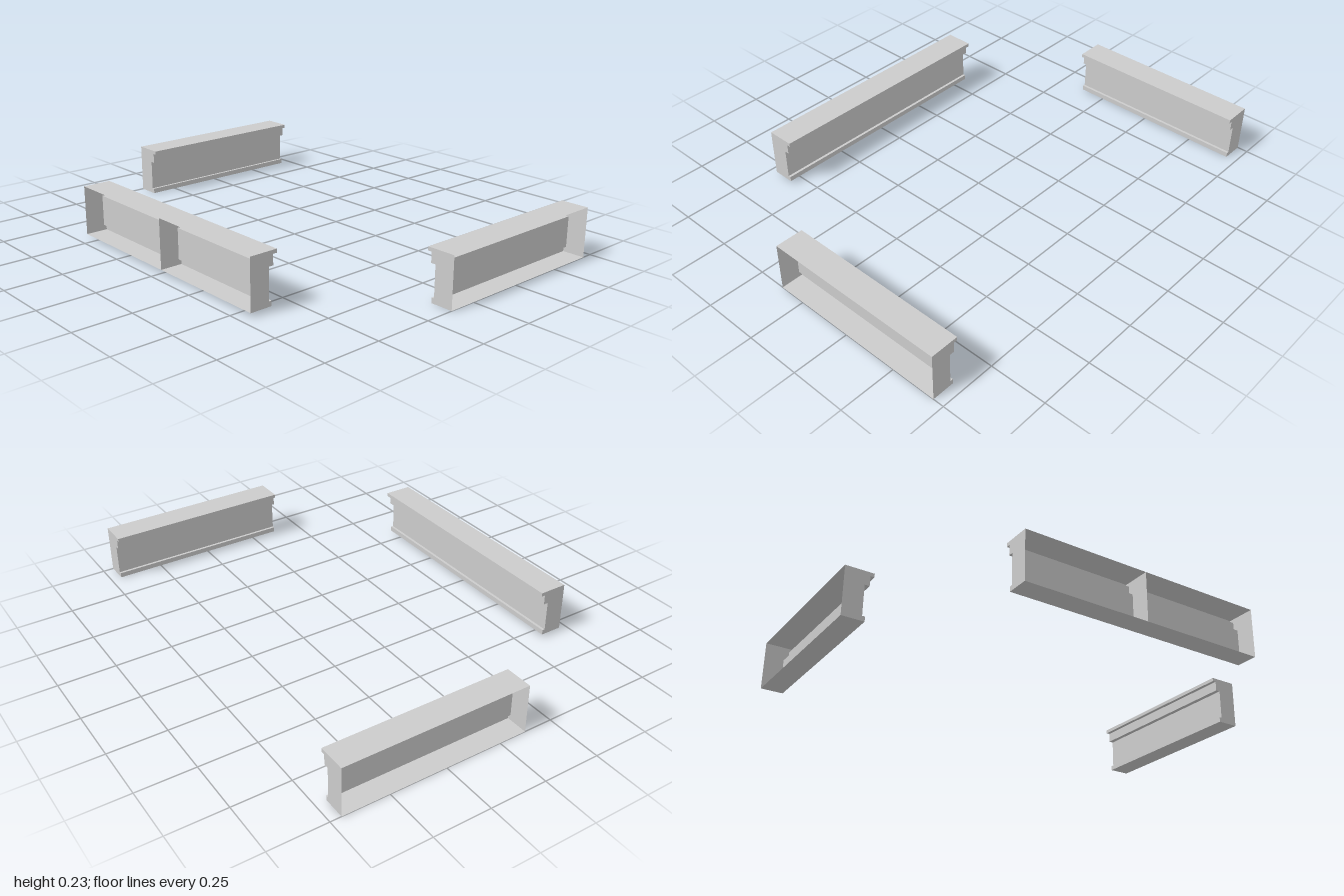
import * as THREE from 'three';

const material = new THREE.MeshStandardMaterial({ color: 0xcccccc, side: THREE.DoubleSide });

// Cornice section as [depth from the open side, height]: foot, wall, frieze, top lip
const profile = [
  [0, 0], [0.098, 0], [0.098, 0.022], [0.086, 0.022], [0.086, 0.156],
  [0.107, 0.156], [0.107, 0.2], [0.124, 0.2], [0.124, 0.216], [0, 0.216],
];

// Thin shell swept along x, left open on its +z side
function shellGeometry(length) {
  const h = length / 2;
  const positions = [];
  for (let i = 0; i < profile.length - 1; i++) {
    const [d0, y0] = profile[i];
    const [d1, y1] = profile[i + 1];
    const a0 = [-h, y0, -d0], a1 = [h, y0, -d0];
    const b0 = [-h, y1, -d1], b1 = [h, y1, -d1];
    positions.push(...a0, ...b0, ...b1, ...a0, ...b1, ...a1);
  }
  const geometry = new THREE.BufferGeometry();
  geometry.setAttribute('position', new THREE.Float32BufferAttribute(positions, 3));
  geometry.computeVertexNormals();
  return geometry;
}

// Flat panel with the outline of the section, facing +x
function panelGeometry() {
  const shape = new THREE.Shape(profile.map(([d, y]) => new THREE.Vector2(d, y)));
  return new THREE.ShapeGeometry(shape).rotateY(Math.PI / 2);
}

function addMesh(parent, name, geometry) {
  const mesh = new THREE.Mesh(geometry, material);
  mesh.name = name;
  parent.add(mesh);
  return mesh;
}

// One moulded beam: shell, two end panels, optional middle rib
function createBeam(name, length, hasRib) {
  const beam = new THREE.Group();
  beam.name = name;
  addMesh(beam, 'mouldedShell', shellGeometry(length));
  addMesh(beam, 'rightEndPanel', panelGeometry().rotateY(Math.PI).scale(1, 1, -1)).position.x = -length / 2;
  addMesh(beam, 'leftEndPanel', panelGeometry()).position.x = length / 2;
  if (hasRib) addMesh(beam, 'middleRib', panelGeometry());
  return beam;
}

export function createModel() {
  const model = new THREE.Group();
  model.name = 'corniceBeams';

  // Front beam, slightly raised
  const front = createBeam('frontBeam', 1.12, true);
  front.position.set(0, 0.015, 0.702);
  model.add(front);

  // Side beams, open sides facing outward
  for (const side of [1, -1]) {
    const beam = createBeam(side > 0 ? 'leftBeam' : 'rightBeam', 0.825, false);
    beam.rotation.y = side * Math.PI / 2;
    beam.position.set(side, 0, -0.29);
    model.add(beam);
  }
  return model;
}
